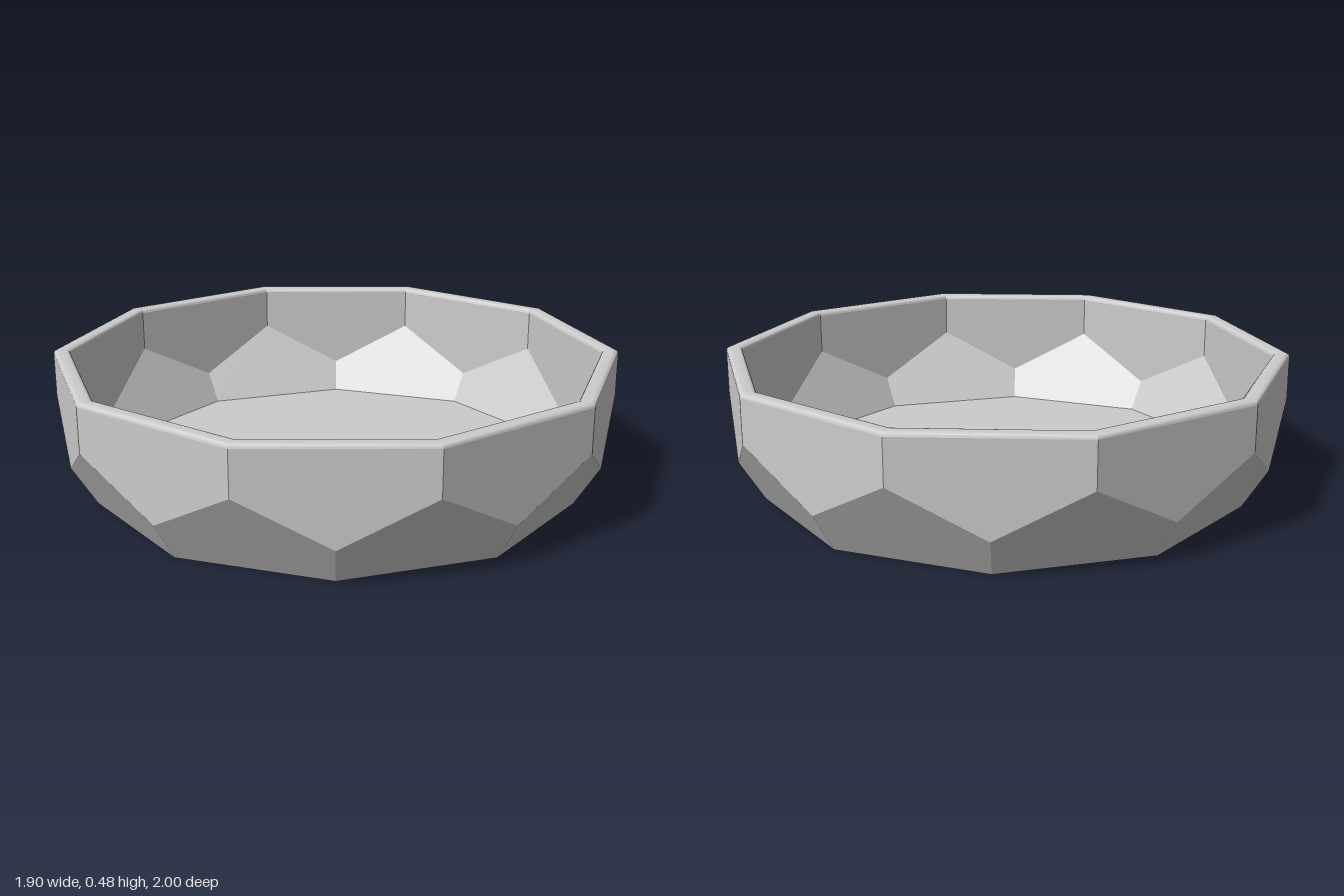
import * as THREE from 'three';
import { toCreasedNormals } from 'three/addons/utils/BufferGeometryUtils.js';

const SIDES = 10;
const STEP = Math.PI / SIDES;          // half a side, so each ring has 20 points
const C = Math.cos(STEP);
const HEIGHT = 0.476, WALL = 0.055, APOTHEM = C, BASE = 0.823;
const SLOPE = Math.tan(Math.PI / 6);   // lean of the lower facets

const material = new THREE.MeshStandardMaterial({ color: 0xcccccc });

// A ring alternates between two [radius, height] points
function ring([rEven, yEven], [rOdd, yOdd]) {
  return Array.from({ length: SIDES * 2 }, (_, j) => {
    const r = j % 2 ? rOdd : rEven;
    return [r * Math.sin(j * STEP), j % 2 ? yOdd : yEven, r * Math.cos(j * STEP)];
  });
}
// Decagon with corners on the z axis, used by the upright walls
const wallRing = (apothem, y) => ring([apothem / C, y], [apothem, y]);
// Decagon turned by half a side, used by the base and floor
const baseRing = (apothem, y) => ring([apothem, y], [apothem / C, y]);
// Zigzag where the upright walls meet the leaning lower facets
function zigzag(apothem, baseApothem) {
  const high = apothem / C, low = apothem;
  return ring([high, (high - baseApothem) / SLOPE], [low, (low * C - baseApothem) / SLOPE]);
}
const centre = (y) => ring([0, y], [0, y]);

// Skin consecutive rings into one faceted surface
function loft(name, rings) {
  const positions = [];
  const add = (a, b, c) => {
    const same = (p, q) => p.every((v, k) => Math.abs(v - q[k]) < 1e-9);
    if (!same(a, b) && !same(b, c) && !same(a, c)) positions.push(...a, ...b, ...c);
  };
  for (let i = 0; i < rings.length - 1; i++) {
    for (let j = 0; j < SIDES * 2; j++) {
      const k = (j + 1) % (SIDES * 2);
      const a = rings[i][j], b = rings[i][k], c = rings[i + 1][k], d = rings[i + 1][j];
      add(a, b, c);
      add(a, c, d);
    }
  }
  const geometry = new THREE.BufferGeometry();
  geometry.setAttribute('position', new THREE.Float32BufferAttribute(positions, 3));
  const mesh = new THREE.Mesh(toCreasedNormals(geometry, THREE.MathUtils.degToRad(28)), material);
  mesh.name = name;
  return mesh;
}

export function createModel() {
  const model = new THREE.Group();
  model.name = 'facetedBowl';

  const inner = APOTHEM - WALL;
  const innerBase = BASE - WALL / Math.cos(Math.PI / 6);
  const bevel = 0.014, lip = HEIGHT - bevel;

  // Rim with softly rounded outer and inner edges
  const rim = [];
  for (const mid of [APOTHEM - bevel, inner + bevel]) {
    const start = mid > inner + WALL / 2 ? 0 : Math.PI / 2;
    for (let s = 0; s <= 4; s++) {
      const a = start + (s / 4) * Math.PI / 2;
      rim.push(wallRing(mid + bevel * Math.cos(a), lip + bevel * Math.sin(a)));
    }
  }

  const floor = baseRing(innerBase + SLOPE * WALL, WALL);
  model.add(
    loft('base', [centre(0), baseRing(BASE, 0)]),
    loft('outerShell', [baseRing(BASE, 0), zigzag(APOTHEM, BASE), wallRing(APOTHEM, lip)]),
    loft('rim', rim),
    loft('innerShell', [wallRing(inner, lip), zigzag(inner, innerBase), floor]),
    loft('floor', [floor, centre(WALL)])
  );
  return model;
}
